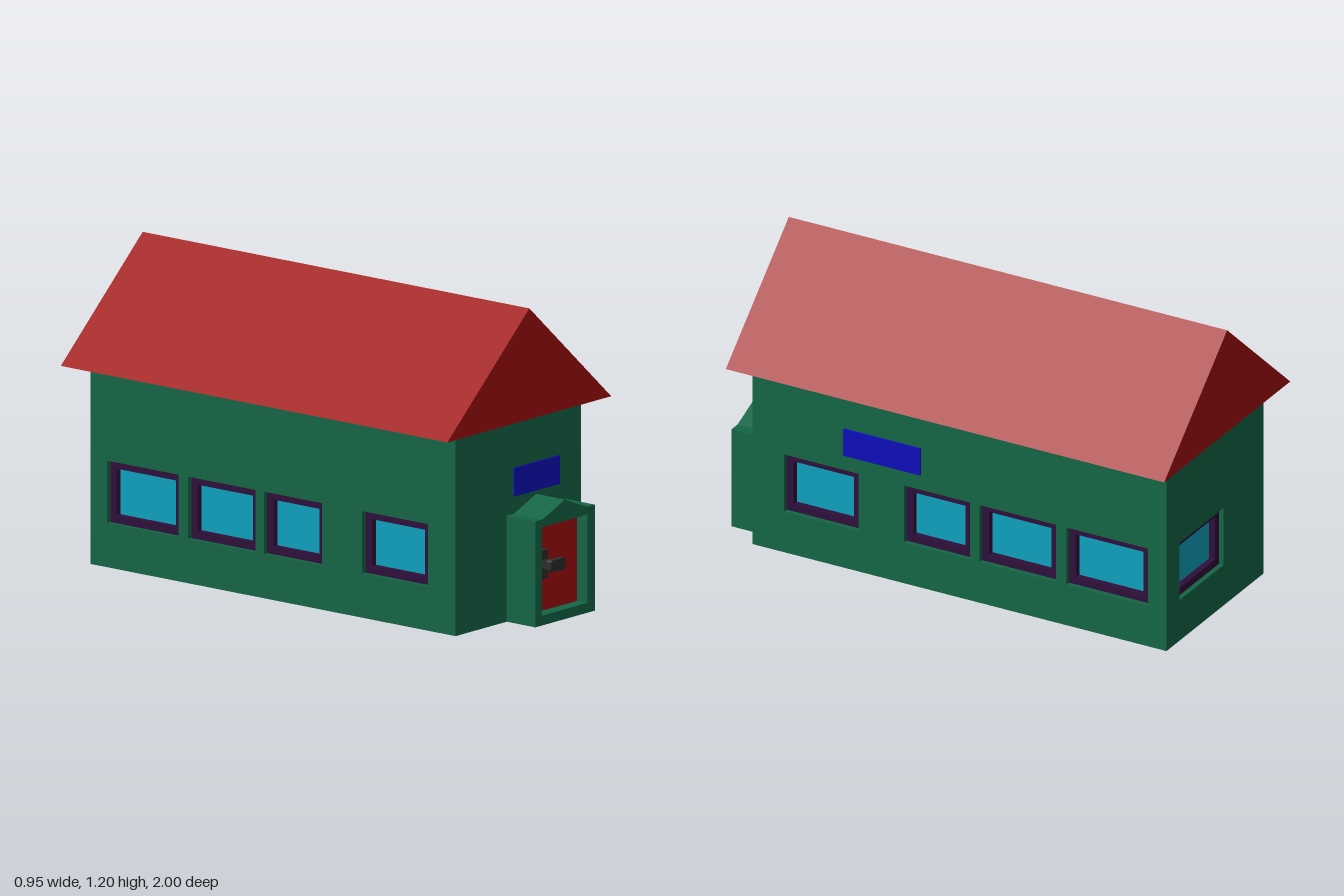
import * as THREE from 'three';

const mat = (color, extra = {}) => new THREE.MeshStandardMaterial({ color, ...extra });
const green = mat(0x146445), red = mat(0xa00d0f), cyan = mat(0x0f9fbc),
  blue = mat(0x0e0cb8), purple = mat(0x2e0f3a), dark = mat(0x2c2c2c);

const WALL_H = 0.775, WALL_T = 0.06;

function add(parent, name, geometry, material) {
  const mesh = new THREE.Mesh(geometry, material);
  mesh.name = name;
  parent.add(mesh);
  return mesh;
}

// Box given by its minimum and maximum corners
function box(parent, name, material, [x0, y0, z0], [x1, y1, z1]) {
  const g = new THREE.BoxGeometry(x1 - x0, y1 - y0, z1 - z0);
  g.translate((x0 + x1) / 2, (y0 + y1) / 2, (z0 + z1) / 2);
  return add(parent, name, g, material);
}

const rect = ([u0, u1, v0, v1]) =>
  [[u0, v0], [u1, v0], [u1, v1], [u0, v1]].map(p => new THREE.Vector2(...p));

// Outline with rectangular holes, extruded between two depths
function slab(points, holes, zBack, zFront) {
  const shape = new THREE.Shape(points);
  shape.holes = holes.map(h => new THREE.Path(rect(h)));
  const g = new THREE.ExtrudeGeometry(shape, { depth: zFront - zBack, bevelEnabled: false });
  return g.translate(0, 0, zBack);
}

// Wall with recessed windows; local z points outward, turned into place about y
function wall(parent, name, turn, face, u0, u1, windows) {
  const group = new THREE.Group();
  group.name = name;
  group.rotation.y = turn;
  parent.add(group);
  add(group, name + 'Panel', slab(rect([u0, u1, 0, WALL_H]), windows, face - WALL_T, face), green);
  for (const w of windows) {
    const [a, b, c, d] = w, f = 0.03;
    const inner = [a + f, b - f, c + f, d - f];
    add(group, 'windowFrame', slab(rect(w), [inner], face - 0.055, face - 0.02), purple);
    box(group, 'windowPane', cyan, [inner[0], inner[2], face - 0.055], [inner[1], inner[3], face - 0.045]);
  }
  return group;
}

export function createModel() {
  const house = new THREE.Group();
  house.name = 'house';

  // Walls: the long sides share the same window spacing along z
  const spans = [[0.38, 0.7], [-0.1, 0.185], [-0.47, -0.14], [-0.865, -0.515]];
  const x0 = -0.37, x1 = 0.362, z0 = -0.945, z1 = 0.835;
  const left = wall(house, 'leftWall', Math.PI / 2, x1, -z1, -z0,
    spans.map(([a, b]) => [-b, -a, 0.17, 0.41]));
  wall(house, 'rightWall', -Math.PI / 2, -x0, z0, z1,
    spans.map(([a, b]) => [a, b, 0.17, 0.41]));
  const front = wall(house, 'frontWall', 0, z1, x0 + WALL_T, x1 - WALL_T, []);
  wall(house, 'backWall', Math.PI, -z0, -x1 + WALL_T, -x0 - WALL_T, [[-0.265, 0.07, 0.17, 0.41]]);
  box(house, 'floor', green, [x0 + WALL_T, 0, z0 + WALL_T], [x1 - WALL_T, 0.02, z1 - WALL_T]);

  // Blank sign boards
  box(front, 'frontSign', blue, [-0.033, 0.475, z1 - 0.01], [0.23, 0.585, z1 + 0.006]);
  box(left, 'sideSign', blue, [-0.44, 0.475, x1 - 0.01], [-0.11, 0.585, x1 + 0.01]);

  // Gabled roof with a green underside
  const gable = [[-0.477, 0.773], [0.477, 0.773], [0, 1.2]].map(p => new THREE.Vector2(...p));
  add(house, 'roof', slab(gable, [], -1, 0.885), red);
  const soffit = add(house, 'roofUnderside', new THREE.PlaneGeometry(0.954, 1.885), green);
  soffit.rotation.x = Math.PI / 2;
  soffit.position.set(0, 0.77, -0.0575);

  // Porch with a small peaked top and a recessed door
  const porch = new THREE.Group();
  porch.name = 'porch';
  house.add(porch);
  const outline = [[-0.072, 0], [0.274, 0], [0.274, 0.408], [0.228, 0.408], [0.1, 0.46],
    [-0.03, 0.408], [-0.072, 0.408]].map(p => new THREE.Vector2(...p));
  const opening = [-0.035, 0.23, 0.038, 0.378];
  add(porch, 'porchSurround', slab(outline, [opening], 0.915, 0.975), green);
  add(porch, 'porchBody', slab(outline, [], 0.82, 0.915), green);
  box(porch, 'door', red, [-0.035, 0.038, 0.913], [0.23, 0.378, 0.925]);

  // Door handle: plate, stem and lever with clipped corners
  box(porch, 'handlePlate', dark, [-0.026, 0.167, 0.92], [0.037, 0.277, 0.945]);
  box(porch, 'handleStem', dark, [-0.005, 0.21, 0.94], [0.03, 0.24, 0.985]);
  const lever = [[-0.004, 0.203], [0.067, 0.203], [0.074, 0.21], [0.074, 0.24], [0.067, 0.247],
    [-0.004, 0.247], [-0.011, 0.24], [-0.011, 0.21]].map(p => new THREE.Vector2(...p));
  add(porch, 'handleLever', slab(lever, [], 0.978, 1), dark);

  return house;
}
